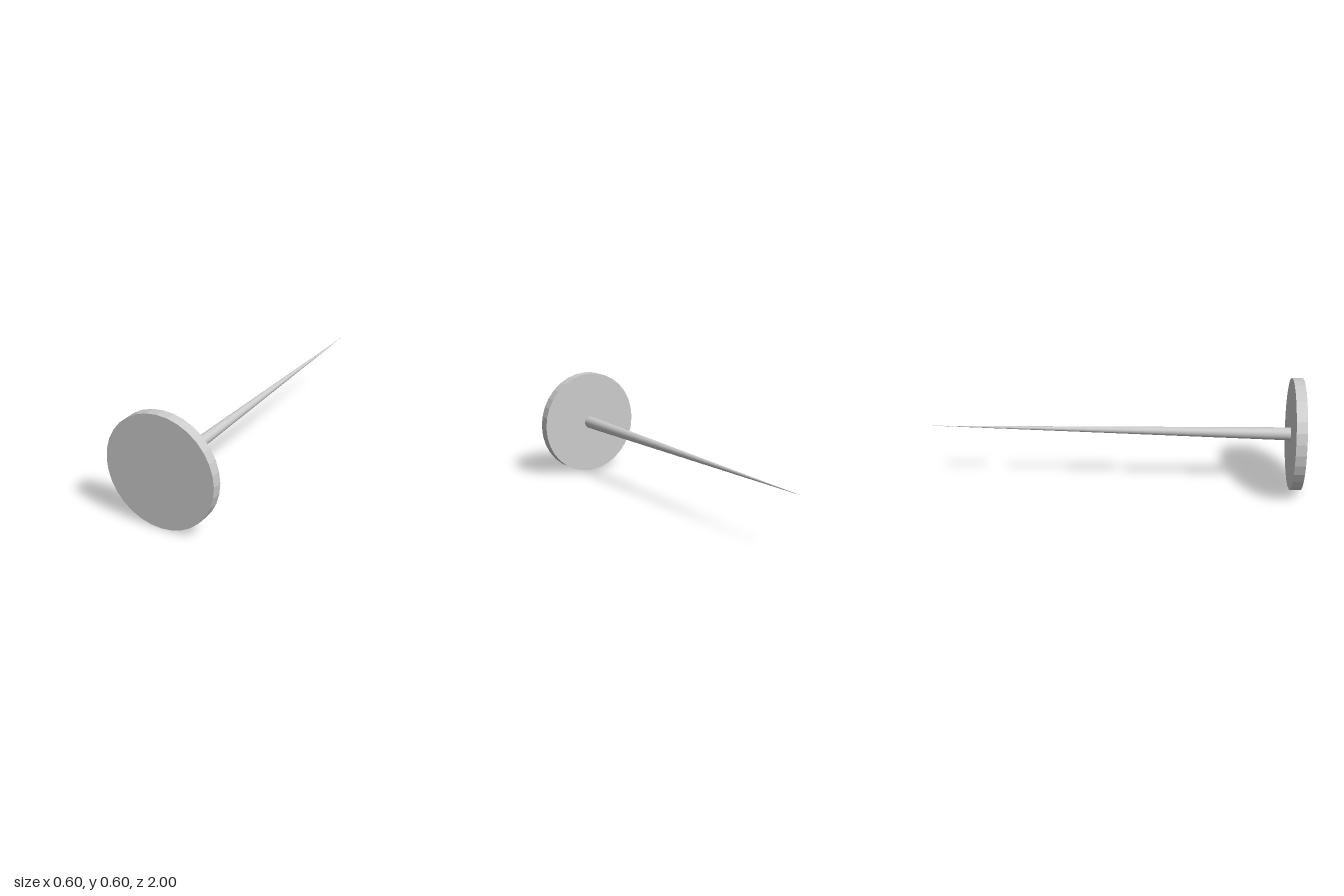
import * as THREE from 'three';

const AXIS_Y = 0.302;   // height of the common axis
const HEAD_R = 0.3;
const HEAD_T = 0.057;
const SHAFT_R = 0.035;

export function createModel() {
  const group = new THREE.Group();

  // Flat round head, facing the front
  const headGeo = new THREE.CylinderGeometry(HEAD_R, HEAD_R, HEAD_T, 32);
  headGeo.rotateX(Math.PI / 2);
  const head = new THREE.Mesh(
    headGeo,
    new THREE.MeshStandardMaterial({ color: 0xcccccc, flatShading: true })
  );
  head.name = 'head';
  head.position.set(0, AXIS_Y, 1 - HEAD_T / 2);
  group.add(head);

  // Long tapering spike, from the back of the head to a sharp point
  const length = 2 - HEAD_T;
  const spikeGeo = new THREE.ConeGeometry(SHAFT_R, length, 32);
  spikeGeo.rotateX(-Math.PI / 2);
  const spike = new THREE.Mesh(
    spikeGeo,
    new THREE.MeshStandardMaterial({ color: 0xcccccc })
  );
  spike.name = 'spike';
  spike.position.set(0, AXIS_Y, -1 + length / 2);
  group.add(spike);

  return group;
}
